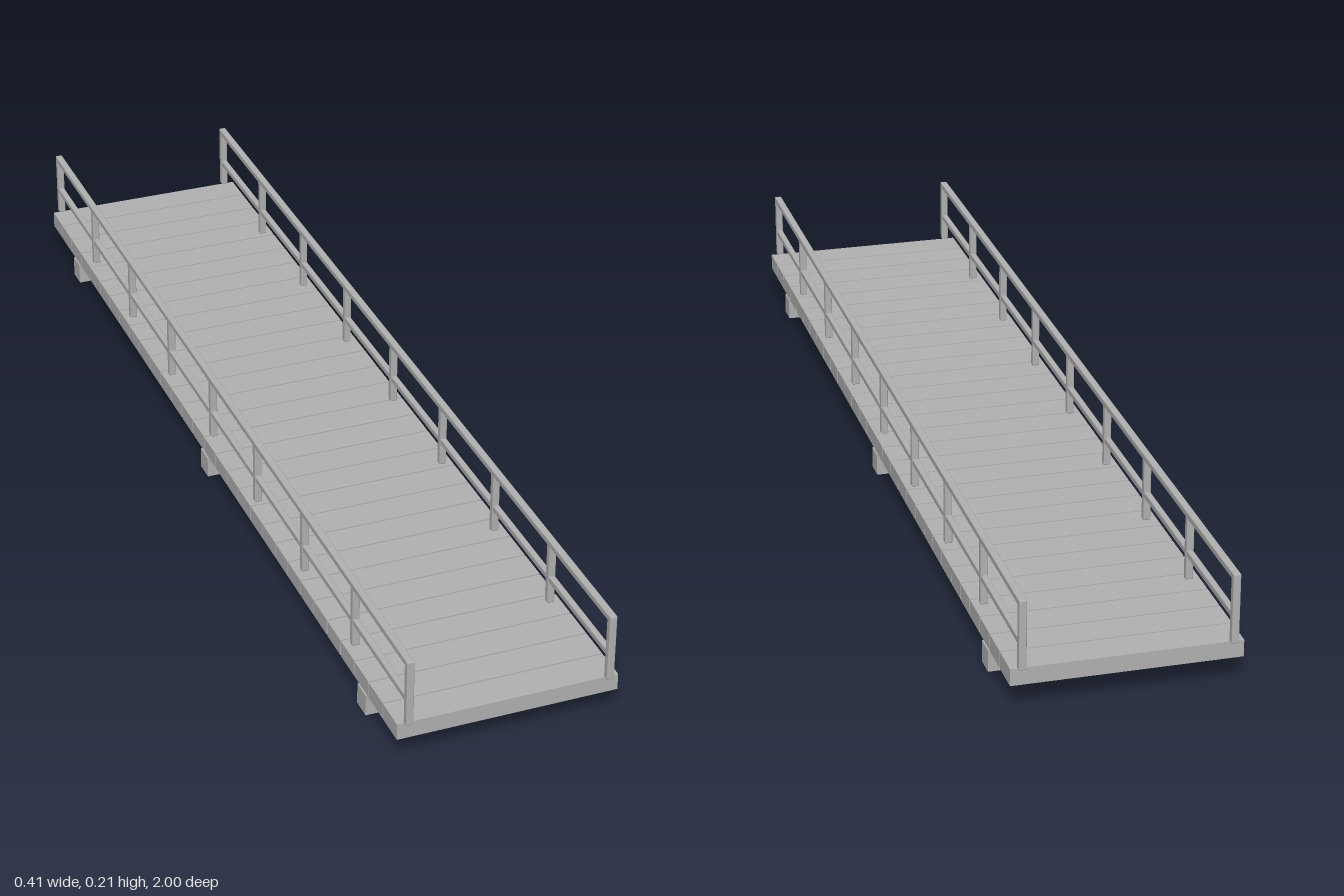
import * as THREE from 'three';
import { RoundedBoxGeometry } from 'three/addons/geometries/RoundedBoxGeometry.js';

export function createModel() {
  const bridge = new THREE.Group();
  bridge.name = 'footbridge';
  const grey = new THREE.MeshStandardMaterial({ color: 0xb2b2b2 });
  grey.name = 'plain grey';

  const add = (parent, name, geometry, x, y, z) => {
    const mesh = new THREE.Mesh(geometry, grey);
    mesh.name = name;
    mesh.position.set(x, y, z);
    parent.add(mesh);
  };

  // Deck of crosswise planks with narrow gaps
  const deck = new THREE.Group();
  deck.name = 'deck';
  bridge.add(deck);
  const count = 30, pitch = 0.0661;
  const plank = new THREE.BoxGeometry(0.413, 0.032, pitch - 0.003);
  for (let i = 0; i < count; i++) {
    add(deck, 'plank', plank, 0, 0.063, (i - (count - 1) / 2) * pitch);
  }

  // Three support beams below the deck
  const beam = new THREE.BoxGeometry(0.413, 0.041, 0.04);
  for (const z of [-0.828, 0, 0.828]) add(bridge, 'supportBeam', beam, 0, 0.0205, z);

  // Railings: nine posts, a handrail and a middle rail on each side
  const post = new RoundedBoxGeometry(0.014, 0.125, 0.013, 1, 0.002);
  const handrail = new RoundedBoxGeometry(0.014, 0.012, 2, 1, 0.002);
  const midRail = new RoundedBoxGeometry(0.012, 0.012, 1.99, 1, 0.002);
  for (const side of [-1, 1]) {
    const railing = new THREE.Group();
    railing.name = side > 0 ? 'leftRailing' : 'rightRailing';
    railing.position.x = side * 0.187;
    bridge.add(railing);
    for (let i = -4; i <= 4; i++) add(railing, 'post', post, 0, 0.1415, i * 0.2484);
    add(railing, 'handrail', handrail, 0, 0.204, 0);
    add(railing, 'midRail', midRail, 0, 0.13, 0);
  }
  return bridge;
}
